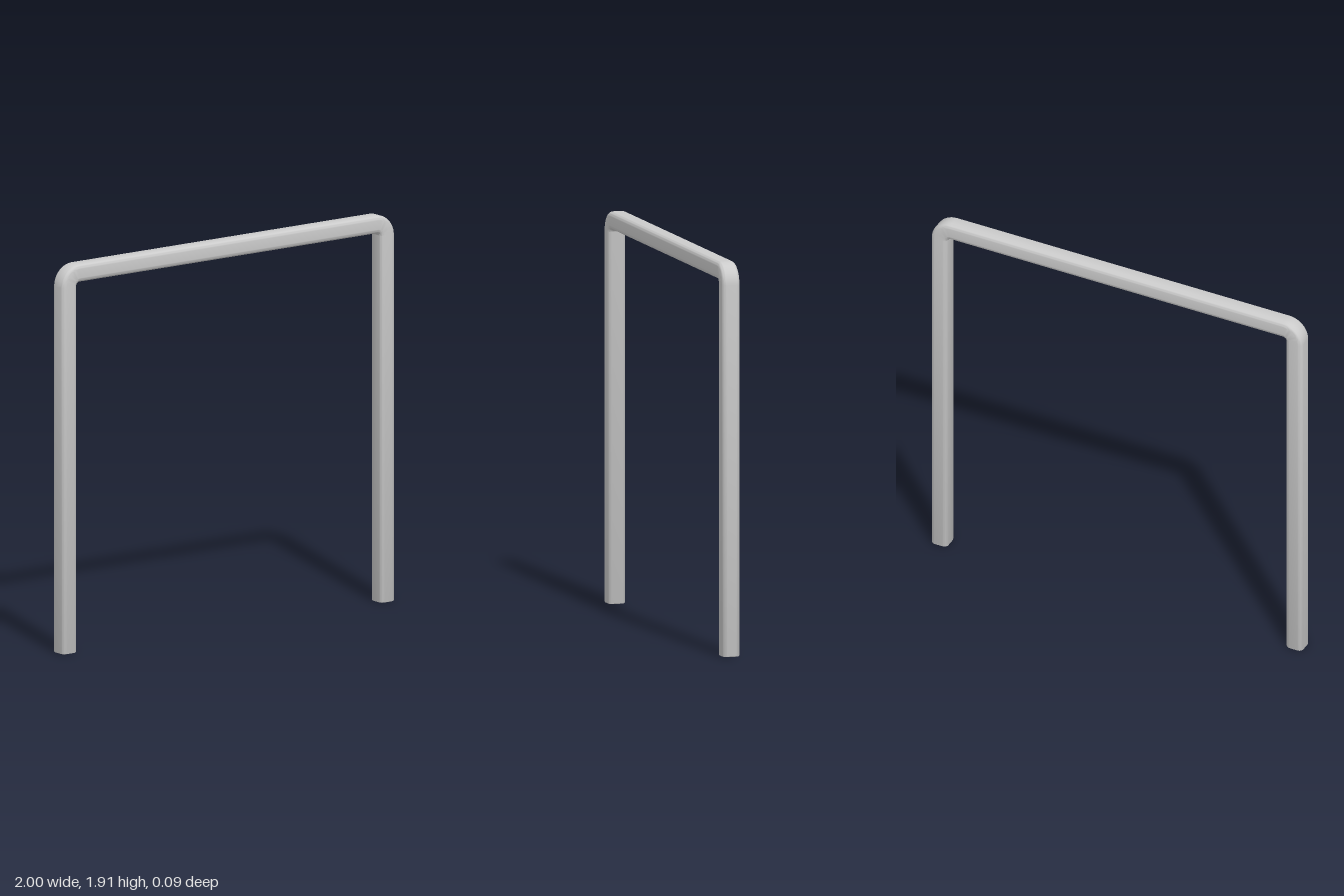
import * as THREE from 'three';
import { toCreasedNormals } from 'three/addons/utils/BufferGeometryUtils.js';

const HALF = 0.044;    // half the bar thickness
const ROUND = 0.022;   // edge rounding of the bar
const BEND = 0.062;    // bend radius of the centre line
const HEIGHT = 1.91;
const BEVEL = 0.006;   // softened foot ends

// Rounded-square cross-section, as [outward, z] pairs
function crossSection(inset) {
  const points = [];
  const steps = 6, c = HALF - ROUND, r = ROUND - inset;
  for (let k = 0; k < 4; k++) {
    const sx = k === 0 || k === 3 ? 1 : -1;
    const sz = k < 2 ? 1 : -1;
    for (let i = 0; i <= steps; i++) {
      const a = (k + i / steps) * Math.PI / 2;
      points.push([sx * c + r * Math.cos(a), sz * c + r * Math.sin(a)]);
    }
  }
  return points;
}

// Stations along the U: position, outward direction angle, end inset
function stations() {
  const list = [];
  const cx = 1 - HALF - BEND, cy = HEIGHT - HALF - BEND;
  const foot = (side, y, inset) =>
    list.push({ x: side * (1 - HALF), y, angle: side < 0 ? Math.PI : 0, inset });
  foot(-1, 0, BEVEL);
  foot(-1, BEVEL * 0.3, BEVEL * 0.3);
  foot(-1, BEVEL, 0);
  for (const side of [-1, 1]) {
    const start = side < 0 ? Math.PI : Math.PI / 2;
    for (let i = 0; i <= 12; i++) {
      const angle = start - (i / 12) * Math.PI / 2;
      list.push({
        x: side * cx + BEND * Math.cos(angle),
        y: cy + BEND * Math.sin(angle),
        angle, inset: 0,
      });
    }
  }
  foot(1, BEVEL, 0);
  foot(1, BEVEL * 0.3, BEVEL * 0.3);
  foot(1, 0, BEVEL);
  return list;
}

// Sweep the cross-section through the stations and close both feet
function sweptBar() {
  const path = stations();
  const positions = [], index = [];
  let n = 0;
  for (const s of path) {
    const ring = crossSection(s.inset);
    n = ring.length;
    for (const [u, z] of ring) {
      positions.push(s.x + u * Math.cos(s.angle), s.y + u * Math.sin(s.angle), z);
    }
  }
  for (let i = 0; i < path.length - 1; i++) {
    for (let j = 0; j < n; j++) {
      const a = i * n + j, b = i * n + (j + 1) % n;
      index.push(a, b, b + n, a, b + n, a + n);
    }
  }
  const last = (path.length - 1) * n;
  for (let j = 1; j < n - 1; j++) {
    index.push(0, j + 1, j);
    index.push(last, last + j, last + j + 1);
  }
  const geometry = new THREE.BufferGeometry();
  geometry.setAttribute('position', new THREE.Float32BufferAttribute(positions, 3));
  geometry.setIndex(index);
  return toCreasedNormals(geometry, 0.6);
}

export function createModel() {
  const group = new THREE.Group();
  group.name = 'archFrame';
  const bar = new THREE.Mesh(sweptBar(), new THREE.MeshStandardMaterial({ color: 0xcccccc }));
  bar.name = 'bentBar';
  group.add(bar);
  return group;
}
